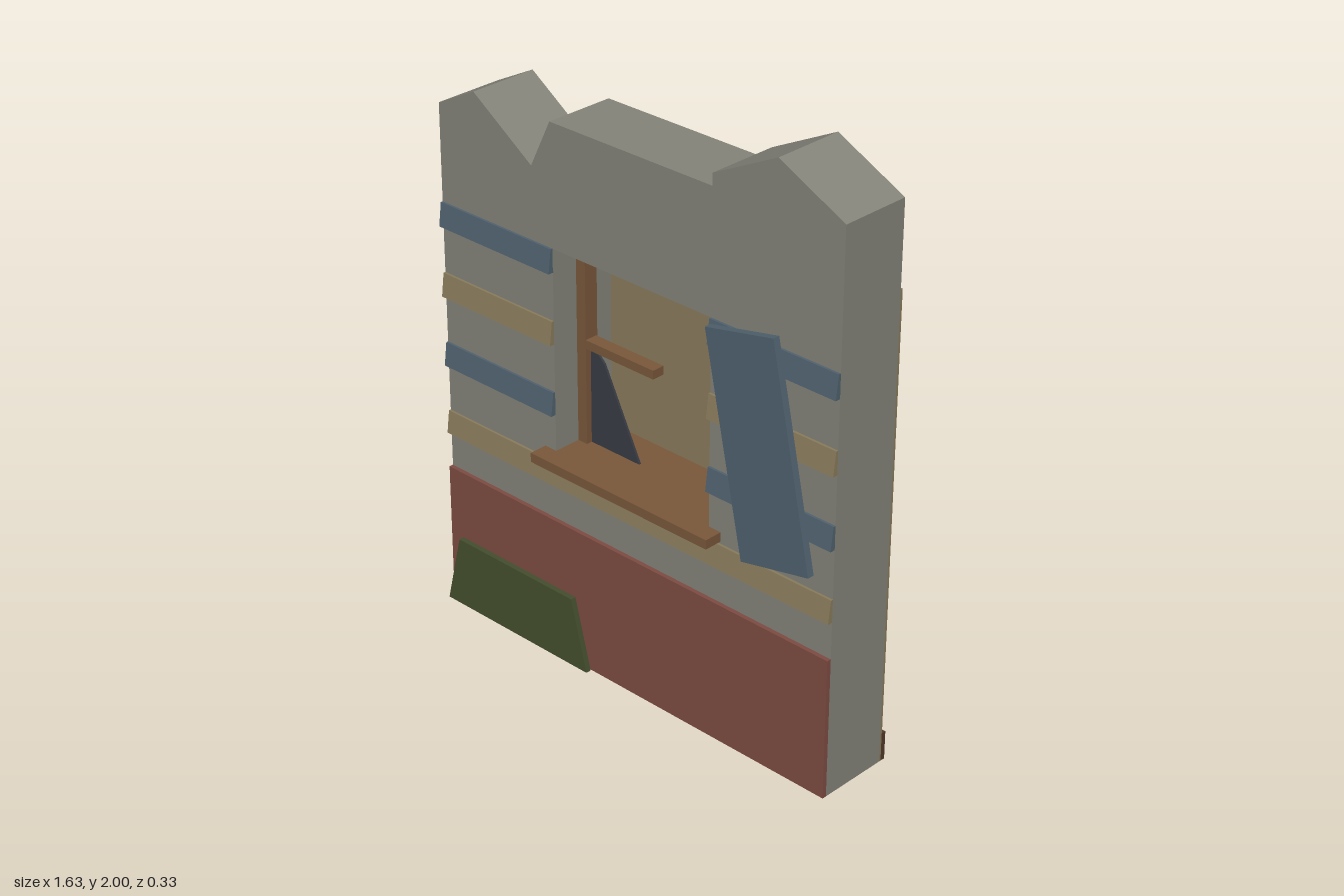
import * as THREE from 'three';

const material = (name, color, side = THREE.FrontSide) => {
  const m = new THREE.MeshStandardMaterial({ color, side });
  m.name = name;
  return m;
};

export function createModel() {
  const group = new THREE.Group();
  group.name = 'ruinedWallWithWindow';

  const concrete = material('concrete grey', 0x84847a);
  const brick = material('brick red', 0x7e4c42);
  const blue = material('faded blue paint', 0x50626f);
  const tan = material('tan plaster', 0x8a7c5c);
  const wood = material('window wood', 0x7a583a);
  const darkWood = material('dark skirting wood', 0x523a2c);
  const moss = material('moss green', 0x444e2e);
  const glass = material('dark glass', 0x373c43);

  const add = (name, geometry, mat) => {
    const mesh = new THREE.Mesh(geometry, mat);
    mesh.name = name;
    group.add(mesh);
    return mesh;
  };

  // Box given by its limits on each axis
  const box = (name, mat, [x0, x1], [y0, y1], [z0, z1]) => {
    const mesh = add(name, new THREE.BoxGeometry(x1 - x0, y1 - y0, z1 - z0), mat);
    mesh.position.set((x0 + x1) / 2, (y0 + y1) / 2, (z0 + z1) / 2);
    return mesh;
  };

  const outline = (points) => new THREE.Shape(points.map(([x, y]) => new THREE.Vector2(x, y)));

  // Flat outline pushed out from z0 to z1
  const slab = (name, mat, shape, z0, z1) => {
    const geometry = new THREE.ExtrudeGeometry(shape, { depth: z1 - z0, bevelEnabled: false });
    geometry.translate(0, 0, z0);
    return add(name, geometry, mat);
  };

  const L = -0.813, R = 0.813;

  // Broken-topped wall with window opening
  const wall = outline([
    [L, 0], [R, 0], [R, 1.88], [0.567, 2], [0.325, 1.88], [0.325, 1.84],
    [-0.328, 1.84], [-0.41, 1.675], [-0.655, 1.84], [L, 1.76],
  ]);
  wall.holes.push(new THREE.Path([
    [-0.325, 0.72], [-0.325, 1.43], [0.325, 1.43], [0.325, 0.72],
  ].map(([x, y]) => new THREE.Vector2(x, y))));
  slab('wall', concrete, wall, -0.143, 0.102);

  // Inner wall lining and skirting on the back
  box('backLining', tan, [L, R], [0, 1.6], [-0.151, -0.143]);
  box('skirting', darkWood, [L, R], [0, 0.1], [-0.167, -0.15]);

  // Brick plinth on the front
  box('plinth', brick, [L, R], [0, 0.49], [0.101, 0.117]);

  // Siding boards, thicker at the lower edge
  const siding = (mat, x0, x1, y0, y1) => {
    const profile = outline([[-0.098, y0], [-0.098, y1], [-0.11, y1], [-0.12, y0]]);
    const geometry = new THREE.ExtrudeGeometry(profile, { depth: x1 - x0, bevelEnabled: false });
    geometry.rotateY(Math.PI / 2); // profile x becomes -z, depth becomes x
    geometry.translate(x0, 0, 0);
    add('sidingBoard', geometry, mat);
  };
  [[blue, 1.35, 1.43], [tan, 1.107, 1.187], [blue, 0.862, 0.942]].forEach(([mat, y0, y1]) => {
    siding(mat, L, -0.325, y0, y1);
    siding(mat, 0.325, R, y0, y1);
  });
  siding(tan, L, R, 0.617, 0.695);

  // Window frame remains
  box('windowSill', wood, [-0.373, 0.373], [0.703, 0.735], [-0.156, 0.166]);
  box('leftPost', wood, [0.287, 0.325], [0.735, 1.43], [-0.045, 0.005]);
  box('rightPost', wood, [-0.325, -0.287], [0.735, 1.43], [-0.045, 0.005]);
  box('brokenCrossbar', wood, [-0.287, 0], [1.07, 1.1], [-0.04, 0.005]);

  // Broken pane
  slab('glassShard', glass, outline([
    [-0.29, 0.735], [-0.08, 0.735], [-0.23, 1.03], [-0.272, 1.07], [-0.29, 1.07],
  ]), -0.024, -0.016);

  // Loose shutter hanging askew
  const shutter = box('hangingShutter', blue, [0.425, 0.691], [0.734, 1.466], [0.133, 0.157]);
  shutter.rotation.z = THREE.MathUtils.degToRad(12);

  // Mossy slab at the foot of the wall
  slab('mossSlab', moss, outline([
    [L, 0], [-0.165, 0], [-0.23, 0.248], [-0.752, 0.248],
  ]), 0.121, 0.14);

  return group;
}
